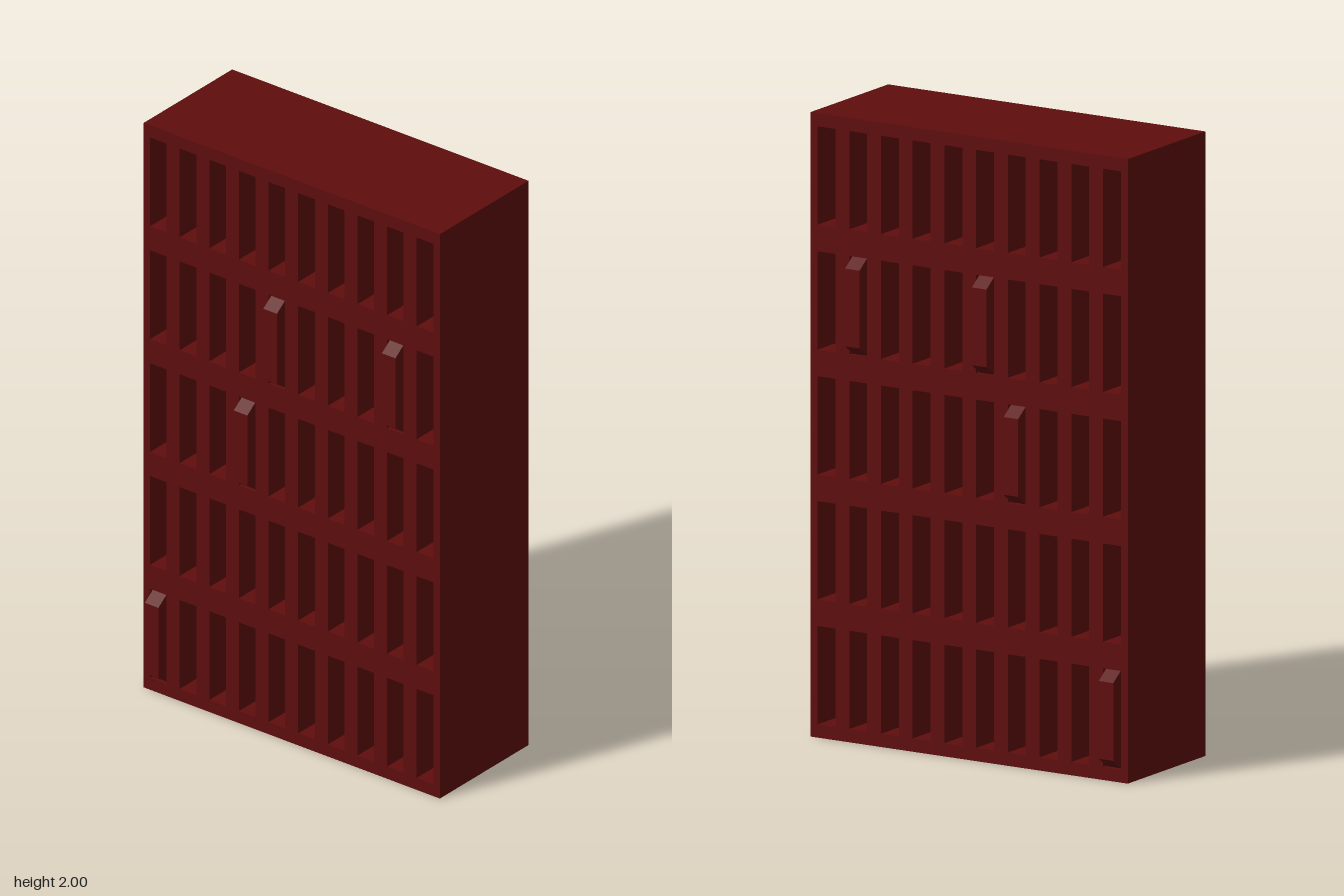
import * as THREE from 'three';

const COLS = 10, ROWS = 5;
const PITCH_X = 0.1176, PITCH_Y = 0.4;
const WIDTH = COLS * PITCH_X, HEIGHT = ROWS * PITCH_Y, DEPTH = 0.446;
const SLOT_W = 0.066, SLOT_H = 0.315;

const columnX = (c) => (c + 0.5) * PITCH_X - WIDTH / 2;
const rowY = (r) => (r + 0.5) * PITCH_Y;

function polygon(points, Type = THREE.Shape) {
  return new Type(points.map(([x, y]) => new THREE.Vector2(x, y)));
}

function rect(cx, cy, w, h, Type) {
  const x = w / 2, y = h / 2;
  return polygon([[cx - x, cy - y], [cx + x, cy - y], [cx + x, cy + y], [cx - x, cy + y]], Type);
}

function extrude(shape, depth) {
  return new THREE.ExtrudeGeometry(shape, { depth, bevelEnabled: false })
    .translate(0, 0, -depth / 2);
}

export function createModel() {
  const model = new THREE.Group();
  model.name = 'slottedRack';
  const darkRed = new THREE.MeshStandardMaterial({ color: 0x5e0d0d });
  darkRed.name = 'darkRed';

  // Block pierced front to back by a grid of slots
  const face = rect(0, HEIGHT / 2, WIDTH, HEIGHT);
  for (let r = 0; r < ROWS; r++) {
    for (let c = 0; c < COLS; c++) {
      face.holes.push(rect(columnX(c), rowY(r), SLOT_W, SLOT_H, THREE.Path));
    }
  }
  const frame = new THREE.Mesh(extrude(face, DEPTH), darkRed);
  frame.name = 'frame';
  model.add(frame);

  // Bars pushed through some slots, with chamfered ends
  const z = 0.257, zi = 0.211, y = SLOT_H / 2, yi = y - 0.033;
  const side = polygon([[-z, -yi], [-zi, -y], [zi, -y], [z, -yi], [z, yi], [zi, y], [-zi, y], [-z, yi]]);
  const barGeometry = extrude(side, 0.054).rotateY(-Math.PI / 2);
  for (const [c, r] of [[0, 0], [3, 2], [4, 3], [8, 3]]) {
    const bar = new THREE.Mesh(barGeometry, darkRed);
    bar.name = 'insertedBar';
    bar.position.set(columnX(c), rowY(r), 0);
    model.add(bar);
  }
  return model;
}
